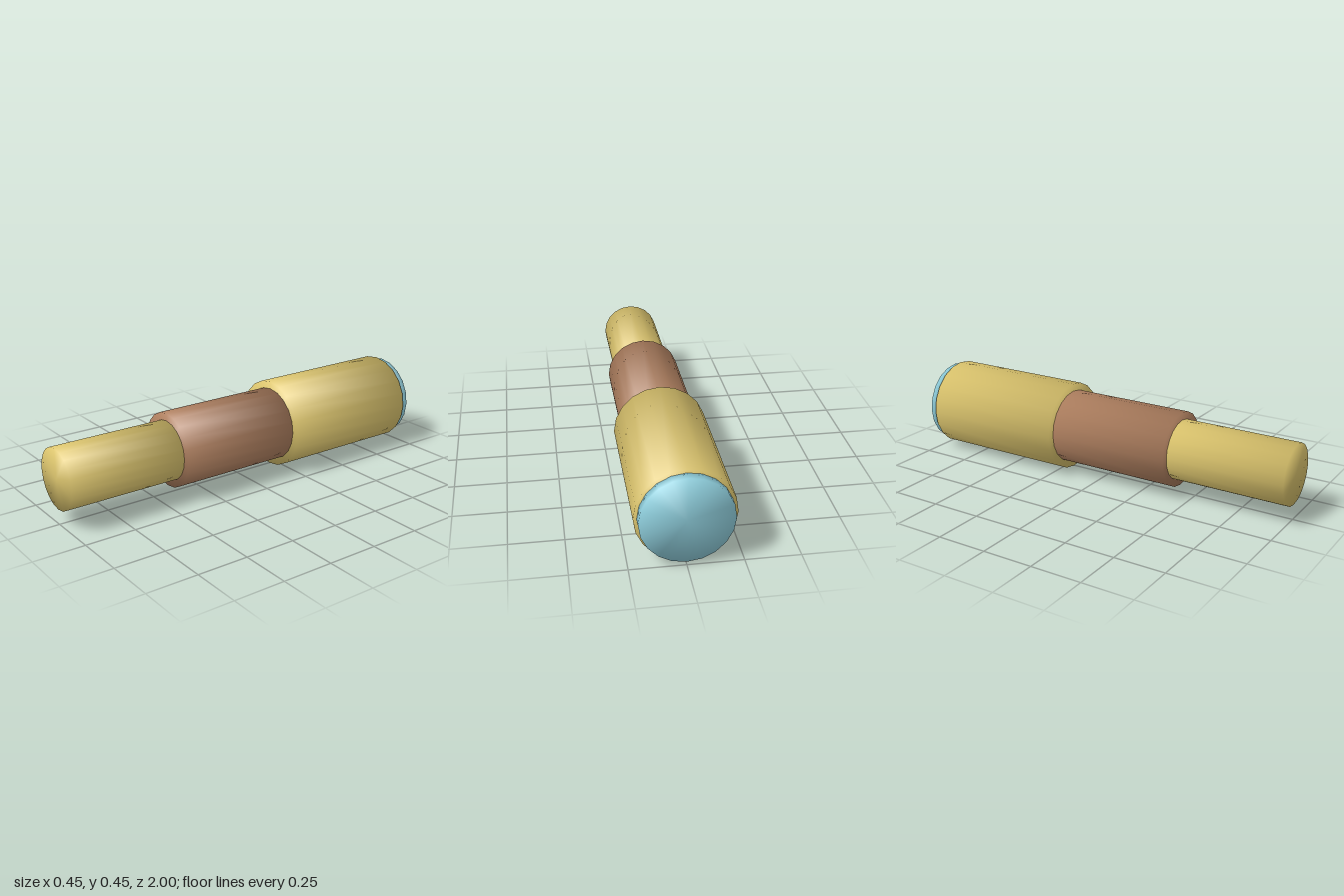
import * as THREE from 'three';

const SIDES = 20;
const AXIS_Y = 0.223;

// Closed tube along z whose normals blend smoothly from the wall into the end caps
function tubeGeometry(radius, zBack, zFront) {
  const geo = new THREE.CylinderGeometry(radius, radius, zFront - zBack, SIDES);
  const pos = geo.attributes.position;
  const n = new THREE.Vector3();
  for (let i = 0; i < pos.count; i++) {
    n.set(pos.getX(i) / radius, Math.sign(pos.getY(i)) * 0.9, pos.getZ(i) / radius).normalize();
    geo.attributes.normal.setXYZ(i, n.x, n.y, n.z);
  }
  geo.rotateX(Math.PI / 2);
  geo.translate(0, AXIS_Y, (zBack + zFront) / 2);
  return geo;
}

export function createModel() {
  const material = (name, color) => {
    const m = new THREE.MeshStandardMaterial({ color });
    m.name = name;
    return m;
  };
  const brass = material('brass', 0xdcc56e);
  const leather = material('leather', 0xae7f5f);
  const glass = material('glass', 0x90d0de);

  // name, radius, back z, front z, material
  const parts = [
    ['eyepieceTube', 0.149, 0.415, 1, brass],
    ['middleTube', 0.186, -0.212, 0.415, leather],
    ['mainTube', 0.223, -0.957, -0.212, brass],
    ['lens', 0.207, -1, -0.957, glass],
  ];

  const group = new THREE.Group();
  group.name = 'spyglass';
  for (const [name, radius, zBack, zFront, mat] of parts) {
    const mesh = new THREE.Mesh(tubeGeometry(radius, zBack, zFront), mat);
    mesh.name = name;
    group.add(mesh);
  }
  return group;
}
